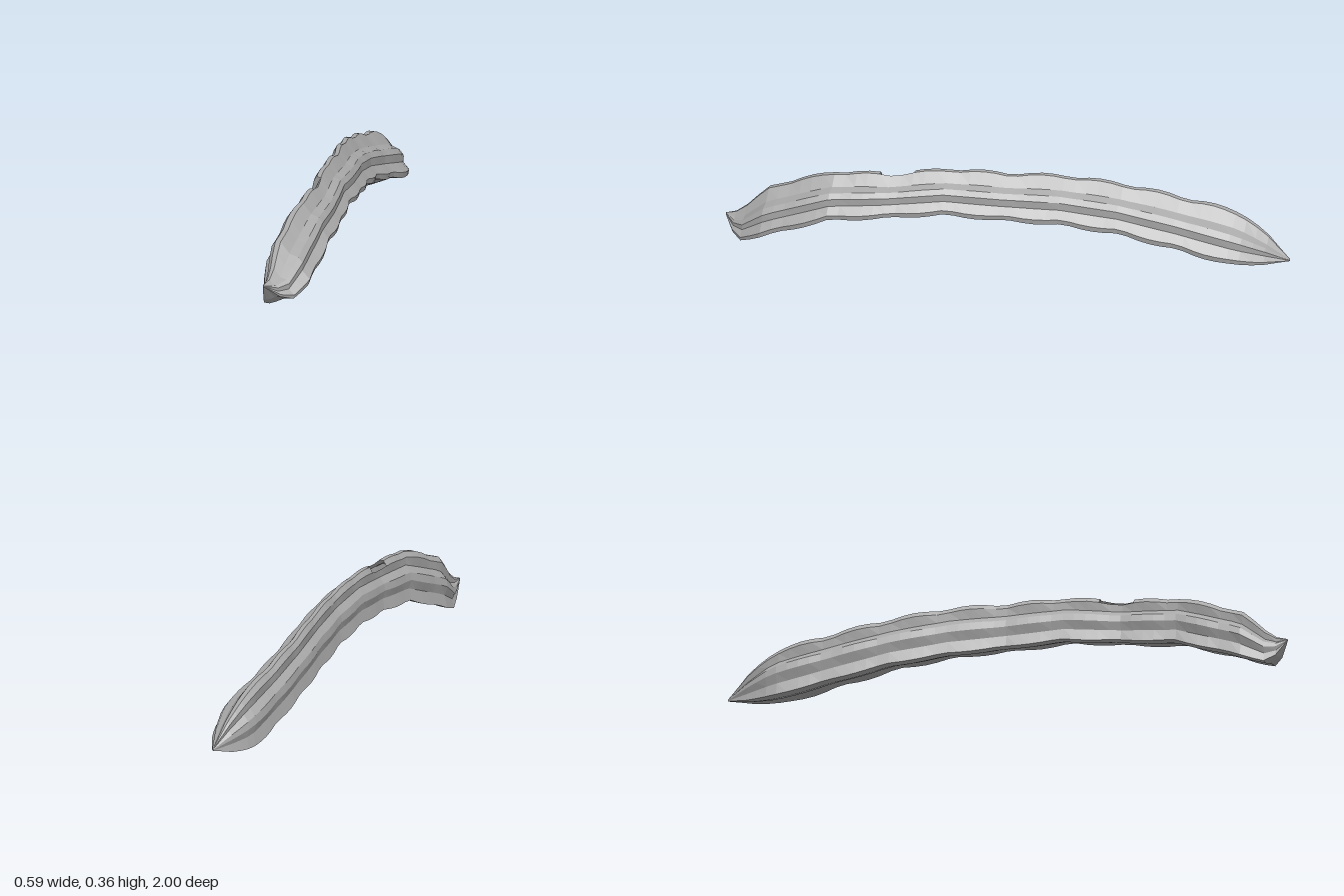
import * as THREE from 'three';

// Centre line and width/height scale along the length: z, x, y, width, height
const SPINE = [
  [-1, -0.25, 0.04, 0.04, 0.04], [-0.92, -0.232, 0.07, 0.52, 0.55], [-0.82, -0.212, 0.103, 1.02, 1.02],
  [-0.6, -0.172, 0.155, 0.94, 1.03], [-0.4, -0.125, 0.203, 0.88, 1], [-0.2, -0.06, 0.24, 0.84, 1],
  [0, 0.012, 0.26, 0.82, 0.95], [0.2, 0.068, 0.277, 0.82, 0.92], [0.4, 0.13, 0.262, 0.84, 0.88],
  [0.6, 0.174, 0.25, 0.94, 0.95], [0.83, 0.205, 0.17, 1.05, 0.98], [0.94, 0.212, 0.1, 0.62, 0.6],
  [1, 0.19, 0.135, 0.03, 0.03],
];

// Lobed cross-section: x, y, scallop strength; clockwise from the top ridge
const SECTION = [
  [-0.025, 0.1, 1], [0.01, 0.06, 0.4], [0.045, 0.05, 0.7], [0.062, 0.03, 0.5], [0.06, 0.0, 0.2],
  [0.09, -0.03, 1], [0.085, -0.05, 1], [0.03, -0.058, 0.2], [-0.01, -0.078, 0.4], [-0.05, -0.094, 0.5],
  [-0.082, -0.093, 0.6], [-0.072, -0.045, 0.2], [-0.085, -0.01, 0.6], [-0.08, 0.02, 0.6],
  [-0.055, 0.045, 0.2], [-0.06, 0.08, 1], [-0.045, 0.1, 1],
];

// Linear interpolation of the spine table at z
function spineAt(z) {
  let i = 0;
  while (i < SPINE.length - 2 && z > SPINE[i + 1][0]) i++;
  const a = SPINE[i], b = SPINE[i + 1], t = (z - a[0]) / (b[0] - a[0]);
  return a.map((v, k) => v + (b[k] - v) * t);
}

function podGeometry() {
  const n = SECTION.length, pos = [], index = [], zs = [];
  for (let k = 0; k <= 50; k++) zs.push(-1 + k * 0.04);
  // rings of the lobed section, swelling into scallops every 0.2
  for (const z of zs) {
    const [, x, y, w, h] = spineAt(z);
    const swell = Math.abs(Math.sin((Math.PI * (z + 0.02)) / 0.2)) - 0.65;
    for (const [sx, sy, s] of SECTION) {
      const f = 1 + 0.13 * s * swell;
      pos.push(x + sx * w * f, y + sy * h * f, z);
    }
  }
  for (let r = 0; r < zs.length - 1; r++) {
    for (let i = 0; i < n; i++) {
      // small split in the crest
      if (i >= n - 2 && zs[r] > 0.31 && zs[r] < 0.42) continue;
      const a = r * n + i, b = r * n + ((i + 1) % n);
      index.push(a, a + n, b, b, a + n, b + n);
    }
  }
  // close both tips
  for (let i = 1; i < n - 1; i++) {
    index.push(0, i, i + 1);
    const e = (zs.length - 1) * n;
    index.push(e, e + i + 1, e + i);
  }
  const g = new THREE.BufferGeometry();
  g.setAttribute('position', new THREE.Float32BufferAttribute(pos, 3));
  g.setIndex(index);
  // rest on the ground
  g.computeBoundingBox();
  g.translate(0, -g.boundingBox.min.y, 0);
  const flat = g.toNonIndexed();
  flat.computeVertexNormals();
  return flat;
}

export function createModel() {
  const group = new THREE.Group();
  group.name = 'ridgedPod';
  const grey = new THREE.MeshStandardMaterial({ color: 0xa8a8a8, side: THREE.DoubleSide, flatShading: true });
  grey.name = 'grey';
  const body = new THREE.Mesh(podGeometry(), grey);
  body.name = 'scallopedBody';
  group.add(body);
  return group;
}
